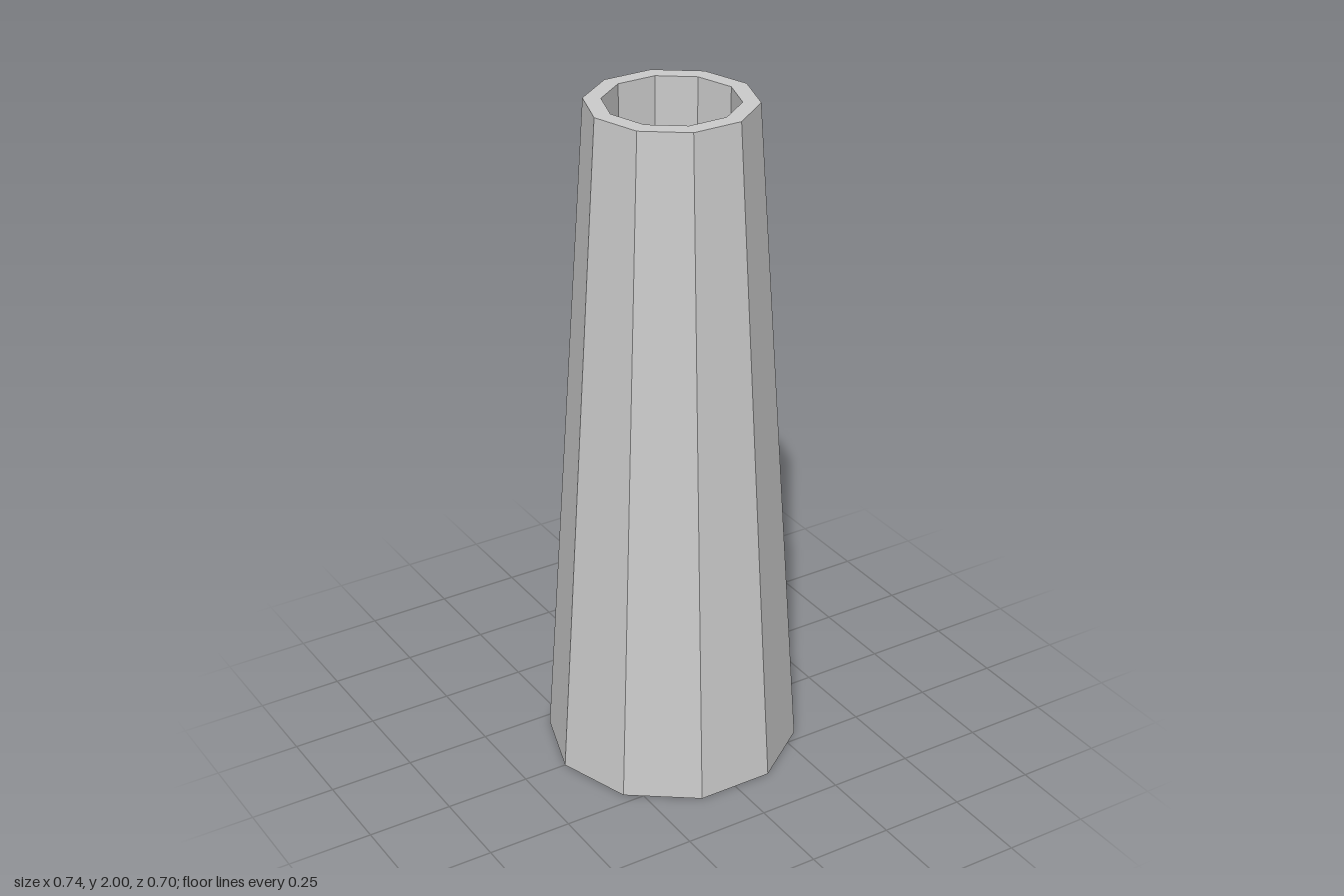
import * as THREE from 'three';

const SIDES = 10;
const HEIGHT = 2;
const BASE_RADIUS = 0.368;
const TOP_RADIUS = 0.236;
const BORE_RADIUS = 0.187;
const BORE_DEPTH = 0.35;

export function createModel() {
  const group = new THREE.Group();
  group.name = 'chimney';

  // Closed profile: base, tapered wall, flat rim, straight bore and its floor
  const profile = [
    [0, 0],
    [BASE_RADIUS, 0],
    [TOP_RADIUS, HEIGHT],
    [BORE_RADIUS, HEIGHT],
    [BORE_RADIUS, HEIGHT - BORE_DEPTH],
    [0, HEIGHT - BORE_DEPTH],
  ].map(([r, y]) => new THREE.Vector2(r, y));

  // Ten flat sides, with corners on the x axis
  const geometry = new THREE.LatheGeometry(profile, SIDES, Math.PI / 2).toNonIndexed();
  geometry.computeVertexNormals();

  const material = new THREE.MeshStandardMaterial({ color: 0xcccccc, flatShading: true });
  const stack = new THREE.Mesh(geometry, material);
  stack.name = 'taperedStack';
  group.add(stack);
  return group;
}
